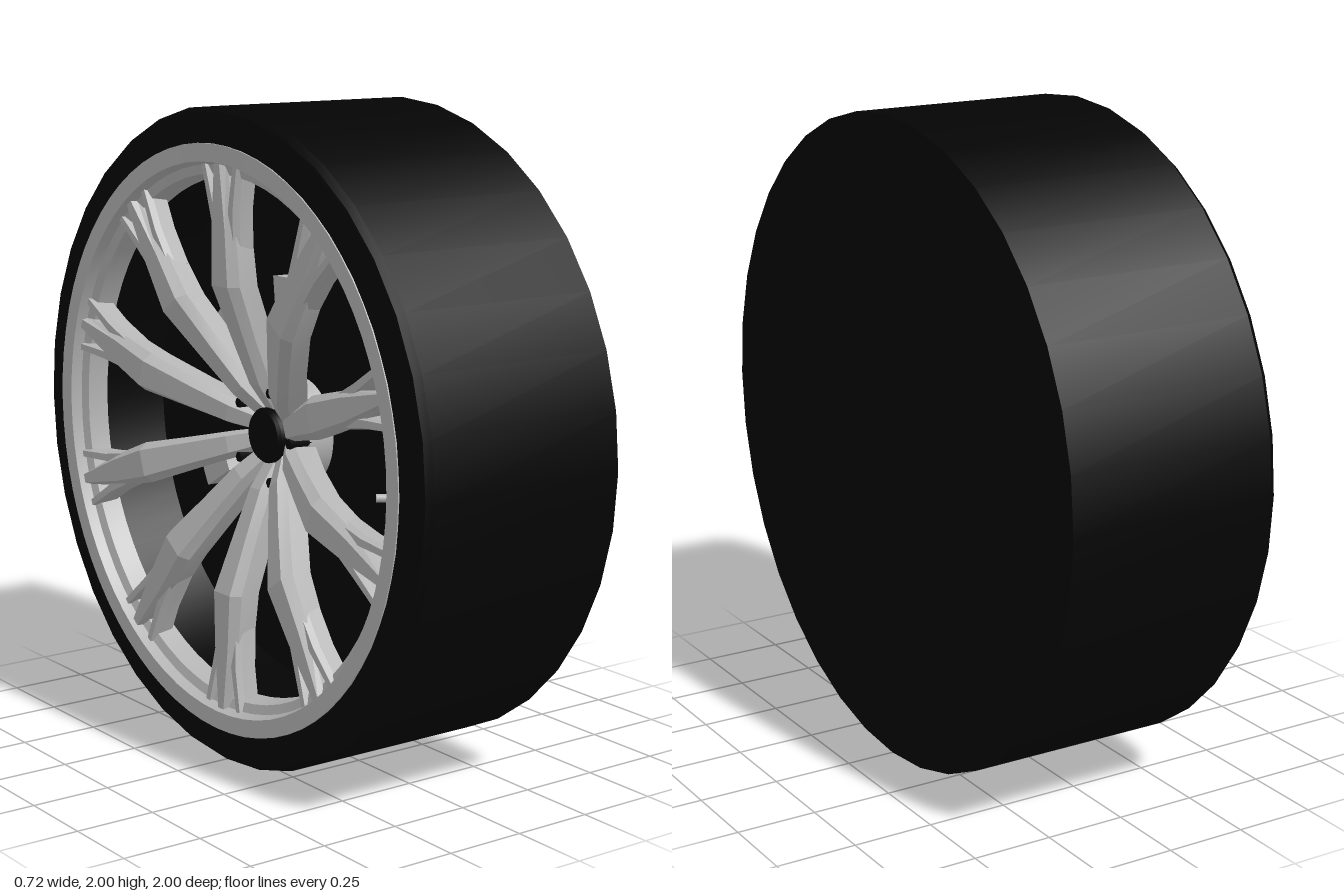
import * as THREE from 'three';
import { toCreasedNormals } from 'three/addons/utils/BufferGeometryUtils.js';

const mat = (name, color) => {
  const m = new THREE.MeshStandardMaterial({ color });
  m.name = name;
  return m;
};

// Revolved part: profile points are [radius, height along the axle]
function lathe(points, segments) {
  const pts = points.map(([r, h]) => new THREE.Vector2(r, h));
  return toCreasedNormals(new THREE.LatheGeometry(pts, segments), 0.45);
}

// Bevelled bar running outwards along +z; stations are [radius, sideOffset, height, halfWidth, depth]
function bar(stations) {
  const pos = [], idx = [], n = 6;
  for (const [r, t, h, w, d] of stations) {
    const bevel = d * 0.3;
    const section = [[-0.85 * w, -d], [0.85 * w, -d], [w, -bevel], [0.65 * w, 0], [-0.65 * w, 0], [-w, -bevel]];
    for (const [x, y] of section) pos.push(t + x, h + y, r);
  }
  const last = (stations.length - 1) * n;
  for (let s = 0; s < last; s += n) {
    for (let i = 0; i < n; i++) {
      const j = (i + 1) % n;
      idx.push(s + i, s + j, s + n + j, s + i, s + n + j, s + n + i);
    }
  }
  for (let i = 1; i < n - 1; i++) {
    idx.push(0, i + 1, i, last, last + i, last + i + 1);
  }
  const g = new THREE.BufferGeometry();
  g.setAttribute('position', new THREE.Float32BufferAttribute(pos, 3));
  g.setIndex(idx);
  return toCreasedNormals(g, 0.15);
}

// Flat ring segment between two angles (degrees, from +z towards +x)
function ringSegment(inner, outer, from, to, height) {
  const a = THREE.MathUtils.degToRad(from - 90), b = THREE.MathUtils.degToRad(to - 90);
  const shape = new THREE.Shape();
  shape.absarc(0, 0, outer, a, b, false);
  shape.absarc(0, 0, inner, b, a, true);
  const g = new THREE.ExtrudeGeometry(shape, { depth: height, bevelEnabled: false, curveSegments: 8 });
  return g.rotateX(-Math.PI / 2);
}

export function createModel() {
  const rubber = mat('black rubber', 0x040404);
  const alloy = mat('grey alloy', 0xb4b4b4);
  const model = new THREE.Group();
  model.name = 'wheel';

  // The wheel is built around y, then turned so its open face looks to -x
  const wheel = new THREE.Group();
  wheel.name = 'wheelAssembly';
  wheel.rotation.z = Math.PI / 2;
  wheel.position.y = 1;
  model.add(wheel);

  const add = (parent, name, geometry, material) => {
    const mesh = new THREE.Mesh(geometry, material);
    mesh.name = name;
    parent.add(mesh);
    return mesh;
  };

  // Tyre with a closed inner side
  add(wheel, 'tyre', lathe([
    [0, -0.36], [0.88, -0.36], [1, -0.345], [1, 0.32], [0.985, 0.34],
    [0.95, 0.352], [0.9, 0.358], [0.88, 0.352], [0.87, 0.33],
  ], 36), rubber);

  // Broad flat rim lip and stepped barrel
  add(wheel, 'rim', lathe([
    [0.894, 0.34], [0.892, 0.36], [0.838, 0.358], [0.828, 0.325],
    [0.8, 0.315], [0.79, 0.25],
  ], 72), alloy);

  // Dark well behind the spokes
  add(wheel, 'wheelWell', lathe([[0.79, 0.25], [0.78, 0.04], [0, 0.04]], 72), rubber);

  // Ten spokes that dive to a recessed hub and fork close to the rim
  const spokeGeo = bar([
    [0.06, 0, 0.14, 0.03, 0.1], [0.16, 0, 0.21, 0.04, 0.11], [0.3, 0, 0.268, 0.05, 0.1],
    [0.47, 0, 0.335, 0.064, 0.1], [0.64, 0, 0.338, 0.052, 0.09], [0.84, 0, 0.342, 0.02, 0.07],
  ]);
  const prongGeos = [-1, 1].map((s) => bar([
    [0.58, s * 0.03, 0.315, 0.022, 0.07], [0.7, s * 0.05, 0.328, 0.018, 0.07],
    [0.84, s * 0.085, 0.335, 0.015, 0.07],
  ]));
  for (let i = 0; i < 10; i++) {
    const spoke = new THREE.Group();
    spoke.name = 'spoke';
    spoke.rotation.y = Math.PI * (0.1 + i * 0.2);
    add(spoke, 'spokeArm', spokeGeo, alloy);
    prongGeos.forEach((g) => add(spoke, 'spokeProng', g, alloy));
    wheel.add(spoke);
  }

  // Brake caliper pieces behind the spokes
  for (const [from, to] of [[78, 96], [130, 148], [194, 210]]) {
    add(wheel, 'brakeCaliper', ringSegment(0.34, 0.48, from, to, 0.07), alloy).position.y = 0.035;
  }

  // Hub and plain centre cap
  add(wheel, 'hub', lathe([[0.17, 0.04], [0.16, 0.12], [0.1, 0.15], [0, 0.15]], 40), alloy);
  add(wheel, 'centreCap', lathe([[0.085, 0.1], [0.085, 0.17], [0.077, 0.18], [0, 0.182]], 32), rubber);

  // Wheel bolts between the spokes
  const boltGeo = new THREE.CylinderGeometry(0.016, 0.016, 0.1, 6);
  for (let i = 0; i < 5; i++) {
    const a = i * Math.PI * 0.4;
    add(wheel, 'wheelBolt', boltGeo, rubber).position.set(0.145 * Math.sin(a), 0.14, 0.145 * Math.cos(a));
  }

  // Air valve
  const valve = add(wheel, 'valve', new THREE.CylinderGeometry(0.012, 0.012, 0.08, 10), alloy);
  valve.position.set(-0.03, 0.29, 0.77);
  valve.rotation.x = -0.6;

  return model;
}
